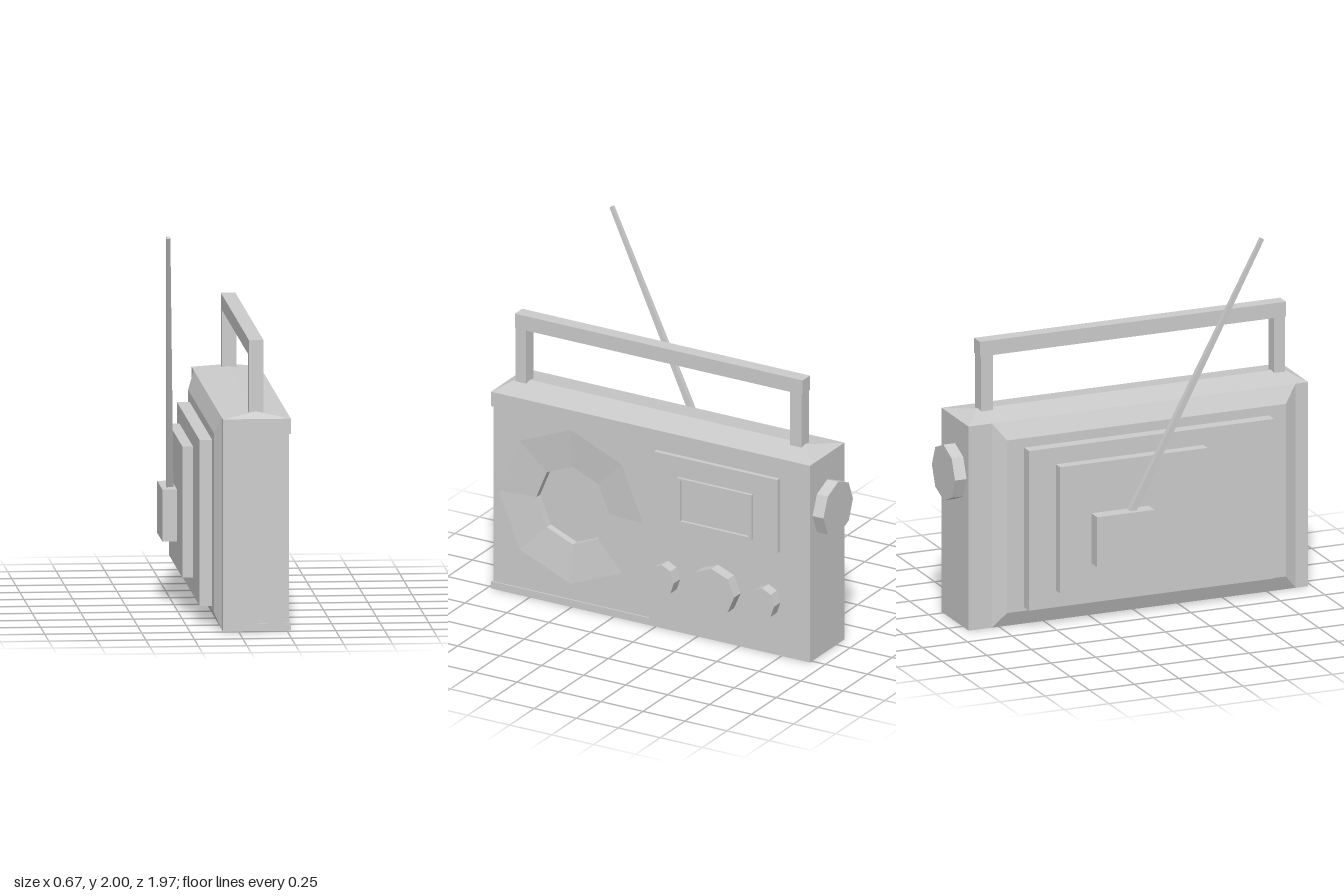
import * as THREE from 'three';

const material = new THREE.MeshStandardMaterial({ color: 0xcccccc, flatShading: true, side: THREE.DoubleSide });

export function createModel() {
  const radio = new THREE.Group();
  radio.name = 'portableRadio';

  const add = (name, geometry) => {
    const mesh = new THREE.Mesh(geometry, material);
    mesh.name = name;
    radio.add(mesh);
    return mesh;
  };

  // Box given by its limits on each axis
  const boxGeometry = (x0, x1, y0, y1, z0, z1) =>
    new THREE.BoxGeometry(x1 - x0, y1 - y0, z1 - z0)
      .translate((x0 + x1) / 2, (y0 + y1) / 2, (z0 + z1) / 2);
  const box = (name, ...limits) => add(name, boxGeometry(...limits));

  // Box whose vertices are moved by a rule
  const shapedBox = (name, limits, rule) => {
    const geometry = boxGeometry(...limits);
    const pos = geometry.attributes.position;
    const v = new THREE.Vector3();
    for (let i = 0; i < pos.count; i++) {
      rule(v.fromBufferAttribute(pos, i));
      pos.setXYZ(i, v.x, v.y, v.z);
    }
    return add(name, geometry);
  };

  const rectangle = (z0, z1, y0, y1) => [[-z0, y0], [-z1, y0], [-z1, y1], [-z0, y1]]
    .map(([u, w]) => new THREE.Vector2(u, w));

  // Plate in the y-z plane with one opening
  const plate = (name, x0, x1, outline, hole) => {
    const shape = new THREE.Shape(outline);
    shape.holes.push(new THREE.Path(hole));
    const geometry = new THREE.ExtrudeGeometry(shape, { depth: x1 - x0, bevelEnabled: false });
    return add(name, geometry.rotateY(Math.PI / 2).translate(x0, 0, 0));
  };

  // Case, with a shallow step around the speaker corner
  box('caseMain', -0.08, 0.27, 0, 1.1, -0.92, 0.04);
  box('caseRear', -0.08, 0.1, 0, 1.1, 0.04, 0.98);
  box('caseBottomLip', 0.1, 0.27, 0, 0.04, 0.04, 0.98);
  box('caseTopLip', 0.1, 0.27, 1.02, 1.1, 0.04, 0.98);
  shapedBox('caseTop', [-0.08, 0.27, 1.1, 1.13, -0.92, 0.98], (v) => {
    if (v.y > 1.115) v.set(0.095, v.y, v.z > 0 ? 0.91 : -0.8);
  });

  // Stepped back
  shapedBox('backBevel', [-0.115, -0.08, 0, 1.1, -0.79, 0.91], (v) => {
    if (v.x < -0.1) v.set(v.x, v.y > 0.5 ? 1.01 : 0.08, v.z > 0 ? 0.84 : -0.72);
  });
  box('backStepLarge', -0.18, -0.115, 0.1, 0.96, -0.625, 0.745);
  box('backStepSmall', -0.235, -0.18, 0.19, 0.87, -0.475, 0.35);
  box('antennaBase', -0.31, -0.235, 0.33, 0.6, -0.3, 0.02);

  // Speaker panel and its dished octagonal cone
  const speakerY = 0.555, speakerZ = 0.51, speakerR = 0.43;
  const rim = Array.from({ length: 8 }, (_, i) => new THREE.Vector2(
    -speakerZ + speakerR * Math.cos(i * Math.PI / 4), speakerY + speakerR * Math.sin(i * Math.PI / 4)));
  plate('speakerPanel', 0.1, 0.262, rectangle(0.04, 0.97, 0.04, 1.02), rim);
  const dish = [[0, -0.06], [0.217, -0.06], [0.217, -0.02], [speakerR, 0]]
    .map(([r, h]) => new THREE.Vector2(r, h));
  add('speakerCone', new THREE.LatheGeometry(dish, 8).rotateZ(-Math.PI / 2))
    .position.set(0.262, speakerY, speakerZ);

  // Tuning display
  box('displayPanel', 0.27, 0.295, 0.58, 0.99, -0.74, -0.005);
  plate('displayFrame', 0.295, 0.312, rectangle(-0.595, -0.15, 0.63, 0.88),
    rectangle(-0.575, -0.17, 0.642, 0.868));

  // Front knobs: z, half width, half height
  for (const [z, w, h] of [[-0.075, 0.072, 0.087], [-0.372, 0.135, 0.13], [-0.672, 0.072, 0.087]]) {
    const knob = add('frontKnob', new THREE.CylinderGeometry(1, 1, 0.065, 8).rotateZ(-Math.PI / 2));
    knob.scale.set(1, h, w);
    knob.position.set(0.3025, 0.298, z);
  }

  // Side knob
  add('sideKnob', new THREE.CylinderGeometry(0.15, 0.15, 0.065, 8).rotateX(Math.PI / 2))
    .position.set(0.095, 0.81, -0.9525);

  // Carrying handle
  box('handleBar', 0.06, 0.135, 1.42, 1.5, -0.797, 0.917);
  for (const [z0, z1] of [[-0.79, -0.722], [0.85, 0.912]]) {
    box('handleLeg', 0.06, 0.135, 1.11, 1.42, z0, z1);
  }

  // Leaning antenna
  const start = new THREE.Vector3(-0.262, 0.57, -0.1);
  const end = new THREE.Vector3(-0.33, 1.993, 0.612);
  const direction = end.clone().sub(start);
  const antenna = add('antenna',
    new THREE.CylinderGeometry(0.014, 0.025, direction.length(), 4).rotateY(Math.PI / 4));
  antenna.position.copy(start).add(end).multiplyScalar(0.5);
  antenna.quaternion.setFromUnitVectors(new THREE.Vector3(0, 1, 0), direction.normalize());

  return radio;
}
